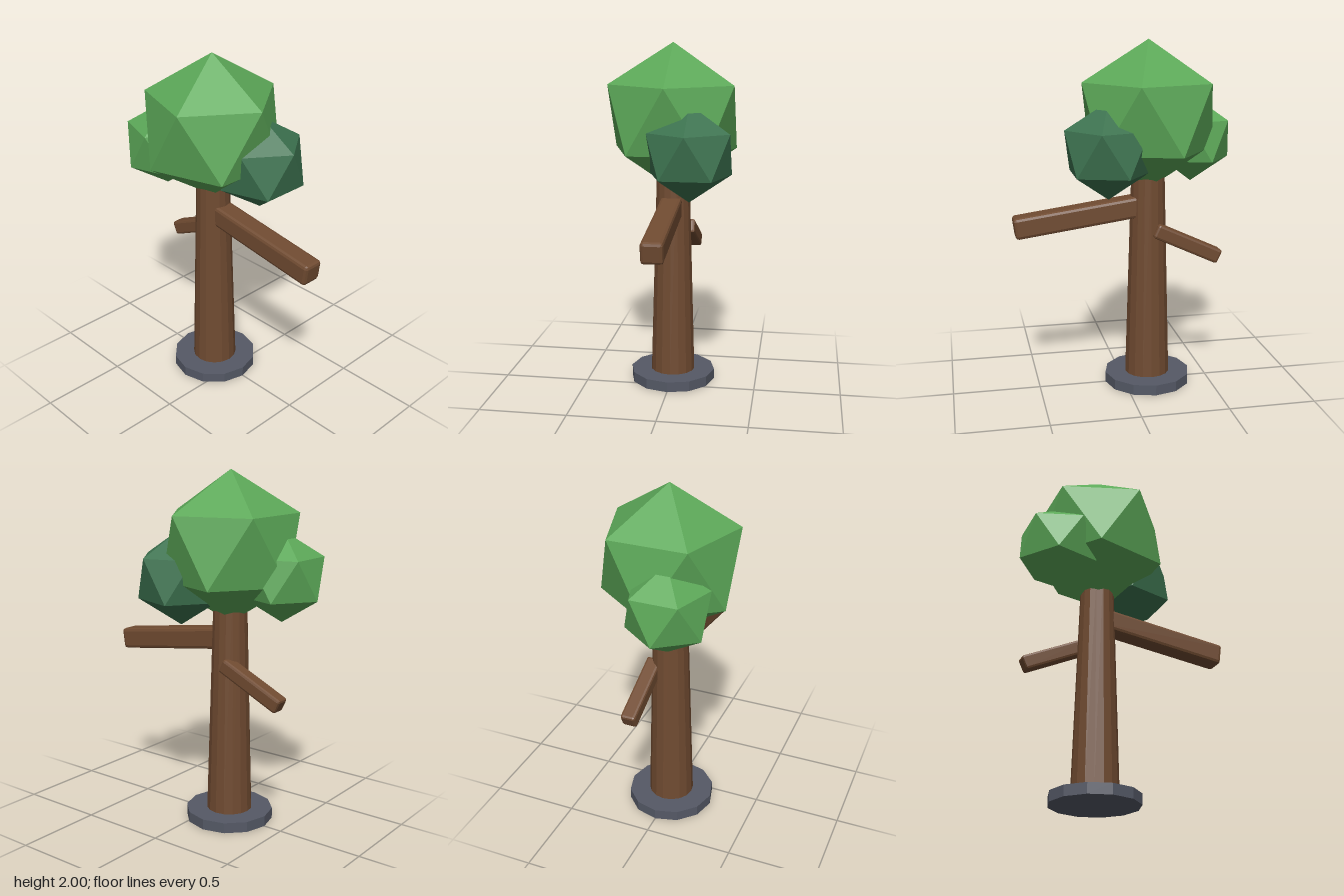
import * as THREE from 'three';
import { RoundedBoxGeometry } from 'three/addons/geometries/RoundedBoxGeometry.js';

const material = (name, color) => {
  const m = new THREE.MeshStandardMaterial({ color, flatShading: true });
  m.name = name;
  return m;
};

export function createModel() {
  const bark = material('bark brown', 0x704b31);
  const leaf = material('leaf green', 0x5ca858);
  const darkLeaf = material('dark leaf green', 0x3d7350);
  const stone = material('slate grey', 0x555966);

  const tree = new THREE.Group();
  tree.name = 'tree';
  const trunkX = -0.14;

  const add = (name, geometry, mat, x, y, z) => {
    const mesh = new THREE.Mesh(geometry, mat);
    mesh.name = name;
    mesh.position.set(x, y, z);
    tree.add(mesh);
    return mesh;
  };

  // Base disc and tapered trunk, whose top is hidden in the canopy
  add('base', new THREE.CylinderGeometry(0.25, 0.25, 0.06, 12), stone, trunkX, 0.03, 0);
  add('trunk', new THREE.CylinderGeometry(0.093, 0.13, 1.3, 16), bark, trunkX, 0.71, 0);

  // Foliage: icosahedra tilted to stand on one corner
  const foliage = (name, radius, mat, x, y, z) => {
    const geometry = new THREE.IcosahedronGeometry(radius, 0);
    geometry.rotateZ(-Math.atan(2 / (1 + Math.sqrt(5))));
    add(name, geometry, mat, x, y, z);
  };
  foliage('mainFoliage', 0.42, leaf, trunkX, 1.58, 0);
  foliage('rightFoliage', 0.25, leaf, -0.416, 1.43, 0.1);
  foliage('leftFoliage', 0.27, darkLeaf, 0.11, 1.405, -0.125);

  // Branches: chamfered beams between two points in a plane of constant z
  const branch = (name, x0, y0, x1, y1, z, height, depth, chamfer) => {
    const length = Math.hypot(x1 - x0, y1 - y0);
    const geometry = new RoundedBoxGeometry(length, height, depth, 1, chamfer);
    const mesh = add(name, geometry, bark, (x0 + x1) / 2, (y0 + y1) / 2, z);
    mesh.rotation.z = Math.atan2(y1 - y0, x1 - x0);
  };
  branch('leftBranch', -0.14, 1.075, 0.626, 0.968, 0, 0.122, 0.122, 0.018);
  branch('rightBranch', -0.164, 0.939, -0.54, 0.764, -0.082, 0.084, 0.086, 0.014);

  return tree;
}
